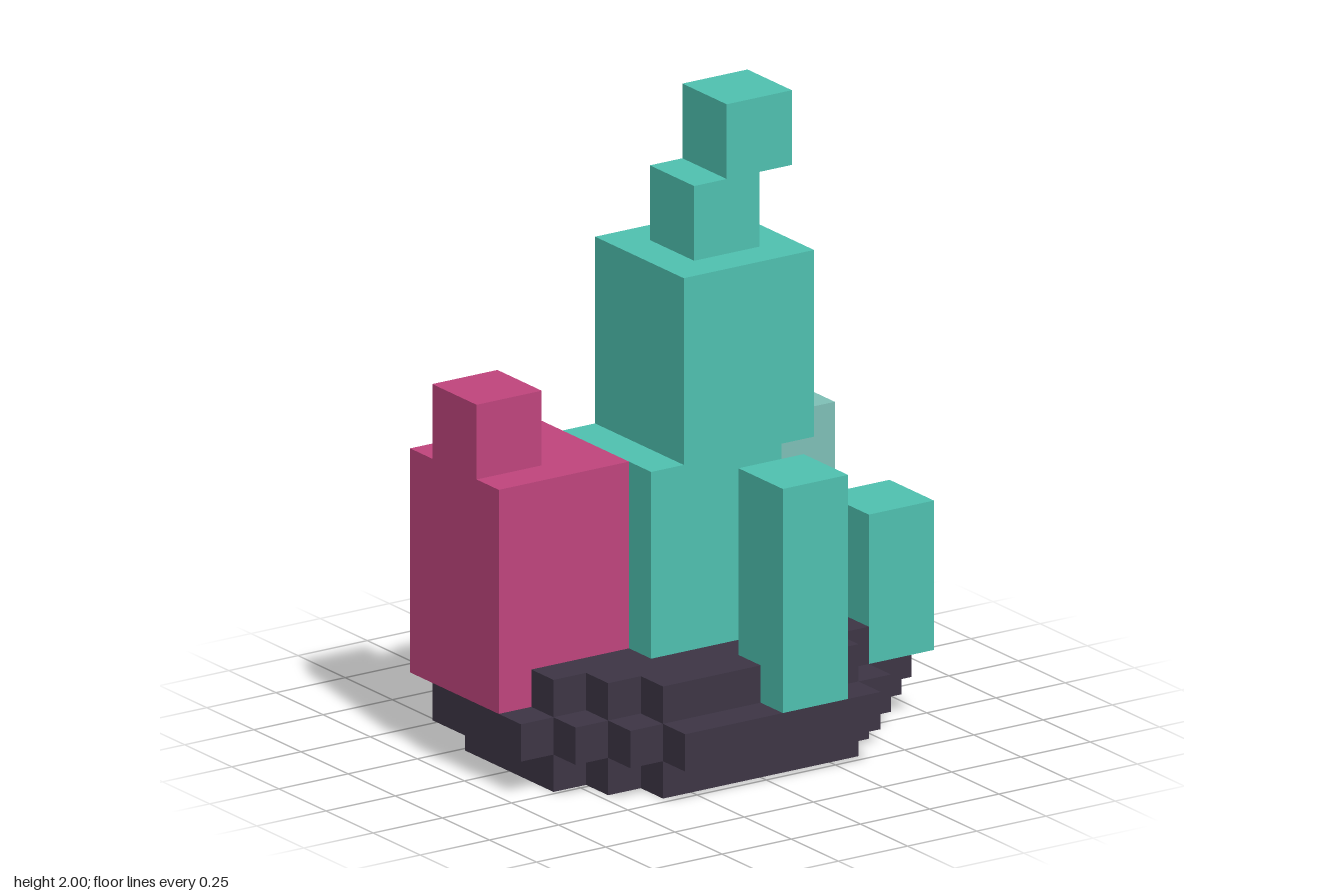
import * as THREE from 'three';

const U = 2 / 17; // one grid cell

export function createModel() {
  const group = new THREE.Group();
  const material = (name, color) => {
    const m = new THREE.MeshStandardMaterial({ color });
    m.name = name;
    return m;
  };
  const teal = material('teal crystal', 0x4fc1b0);
  const paleTeal = material('pale teal crystal', 0x7fc0b7);
  const pink = material('pink crystal', 0xc0457d);
  const rock = material('dark rock', 0x3d3545);

  const add = (parent, name, geometry, mat) => {
    const mesh = new THREE.Mesh(geometry, mat);
    mesh.name = name;
    parent.add(mesh);
  };

  // Box given by its ranges in grid cells
  const block = (parent, name, mat, [x0, x1], [y0, y1], [z0, z1]) => {
    const g = new THREE.BoxGeometry((x1 - x0) * U, (y1 - y0) * U, (z1 - z0) * U);
    g.translate((x0 + x1) / 2 * U, (y0 + y1) / 2 * U, (z0 + z1) / 2 * U);
    add(parent, name, g, mat);
  };

  // One-cell-high slab from an x, z outline in grid cells
  const slab = (parent, name, outline, y) => {
    const shape = new THREE.Shape(outline.map(([x, z]) => new THREE.Vector2(x * U, -z * U)));
    const g = new THREE.ExtrudeGeometry(shape, { depth: U, bevelEnabled: false });
    g.rotateX(-Math.PI / 2);
    g.translate(0, y * U, 0);
    add(parent, name, g, rock);
  };

  // Stepped round outline, mirrored from one quarter
  const stepped = (quarter) => {
    const back = [...quarter].reverse();
    return [
      ...quarter,
      ...back.map(([x, z]) => [-x, z]),
      ...quarter.map(([x, z]) => [-x, -z]),
      ...back.map(([x, z]) => [x, -z]),
    ];
  };

  const part = (name) => {
    const g = new THREE.Group();
    g.name = name;
    group.add(g);
    return g;
  };

  // Rock base; the top layer leaves room for the crystals
  const base = part('rockBase');
  slab(base, 'lowerRock', stepped([[5, 2], [4, 2], [4, 3], [3, 3], [3, 4]]), 0);
  slab(base, 'middleRock', stepped([[6, 2], [5, 2], [5, 3], [4, 3], [4, 4], [3, 4], [3, 5]]), 1);
  slab(base, 'upperRock', [
    [5, 0], [5, 2], [4, 2], [4, 3], [3, 3], [3, 4], [-3, 4], [-3, 3], [-4, 3], [-4, 2], [-5, 2],
    [-5, 1], [-2, 1], [-2, -2], [-1, -2], [-1, -4], [1, -4], [1, 0],
  ], 2);

  // Tall central crystal
  const main = part('centralCrystal');
  block(main, 'crystalFoot', teal, [-2, 2], [2, 8], [-2, 2]);
  block(main, 'crystalBody', teal, [-1, 3], [8, 13], [-2, 2]);
  block(main, 'crystalNeck', teal, [0, 2], [13, 15], [-1, 1]);
  block(main, 'crystalTip', teal, [1, 3], [15, 17], [-1, 1]);

  // Small teal crystals
  block(group, 'frontCrystal', teal, [0, 2], [2, 8], [3, 5]);
  block(group, 'leftCrystal', teal, [4, 6], [2, 6], [1, 3]);

  // Pale crystal at the back left
  const pale = part('paleCrystal');
  block(pale, 'paleBody', paleTeal, [1, 5], [2, 8], [-4, 0]);
  block(pale, 'paleTip', paleTeal, [3, 5], [8, 11], [-3, -1]);

  // Pink crystal on the right, with a shorter one behind
  const pinkGroup = part('pinkCrystal');
  block(pinkGroup, 'pinkBody', pink, [-6, -2], [2, 8], [-3, 1]);
  block(pinkGroup, 'pinkTip', pink, [-6, -4], [8, 10], [-2, 0]);
  block(pinkGroup, 'pinkBackCrystal', pink, [-3, -1], [2, 7], [-4, -2]);

  return group;
}
